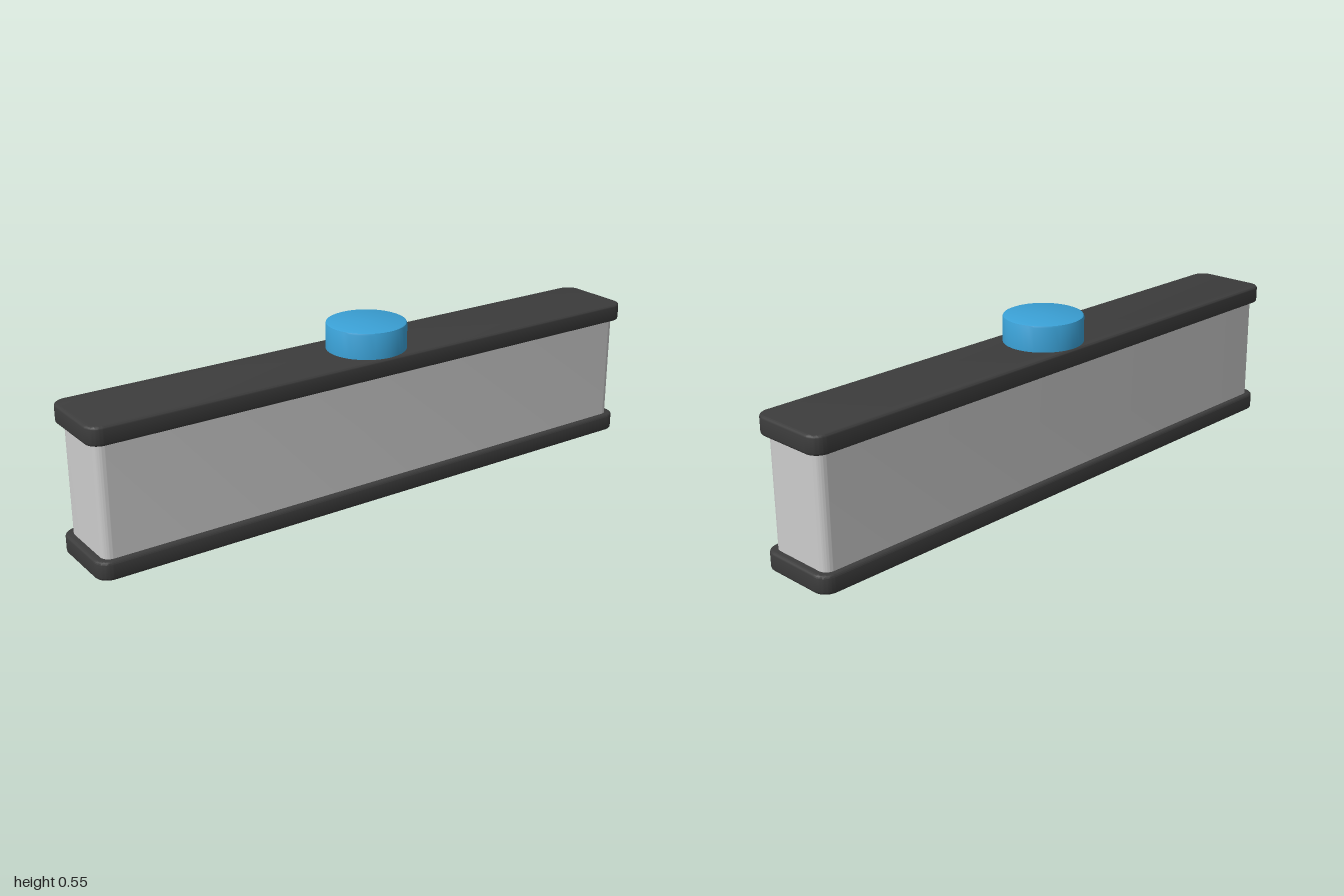
import * as THREE from 'three';
import { toCreasedNormals } from 'three/addons/utils/BufferGeometryUtils.js';

// Upright slab with rounded corners in plan and optionally bevelled rims
function roundedSlab(width, depth, radius, y0, y1, bevel) {
  const x = width / 2, z = depth / 2;
  const s = new THREE.Shape();
  s.absarc(x - radius, z - radius, radius, 0, Math.PI / 2);
  s.absarc(-x + radius, z - radius, radius, Math.PI / 2, Math.PI);
  s.absarc(-x + radius, -z + radius, radius, Math.PI, Math.PI * 1.5);
  s.absarc(x - radius, -z + radius, radius, Math.PI * 1.5, Math.PI * 2);
  const g = new THREE.ExtrudeGeometry(s, {
    depth: y1 - y0 - 2 * bevel,
    curveSegments: 10,
    bevelEnabled: bevel > 0,
    bevelThickness: bevel,
    bevelSize: bevel,
    bevelOffset: -bevel,
    bevelSegments: 3,
  });
  g.rotateX(-Math.PI / 2);
  g.translate(0, y0 + bevel, 0);
  return toCreasedNormals(g, Math.PI / 5);
}

export function createModel() {
  const group = new THREE.Group();
  const charcoal = new THREE.MeshStandardMaterial({ name: 'charcoal', color: 0x3c3c3c });
  const lightGrey = new THREE.MeshStandardMaterial({ name: 'lightGrey', color: 0xcccccc });
  const blue = new THREE.MeshStandardMaterial({ name: 'blue', color: 0x3aa0d5 });

  const add = (name, geometry, material) => {
    const mesh = new THREE.Mesh(geometry, material);
    mesh.name = name;
    group.add(mesh);
  };

  // Base and lid plates overhang the body slightly
  add('basePlate', roundedSlab(2, 0.27, 0.045, 0, 0.058, 0.008), charcoal);
  add('body', roundedSlab(1.954, 0.232, 0.03, 0.05, 0.415, 0), lightGrey);
  add('topPlate', roundedSlab(2, 0.27, 0.045, 0.407, 0.465, 0.008), charcoal);

  // Round button with a softened upper rim
  const r = 0.128, top = 0.55, b = 0.007;
  const profile = [[0, 0.46], [r, 0.46], [r, top - b], [r - b * 0.3, top - b * 0.3], [r - b, top], [0, top]]
    .map(([x, y]) => new THREE.Vector2(x, y));
  add('button', toCreasedNormals(new THREE.LatheGeometry(profile, 48), Math.PI / 5), blue);

  return group;
}
